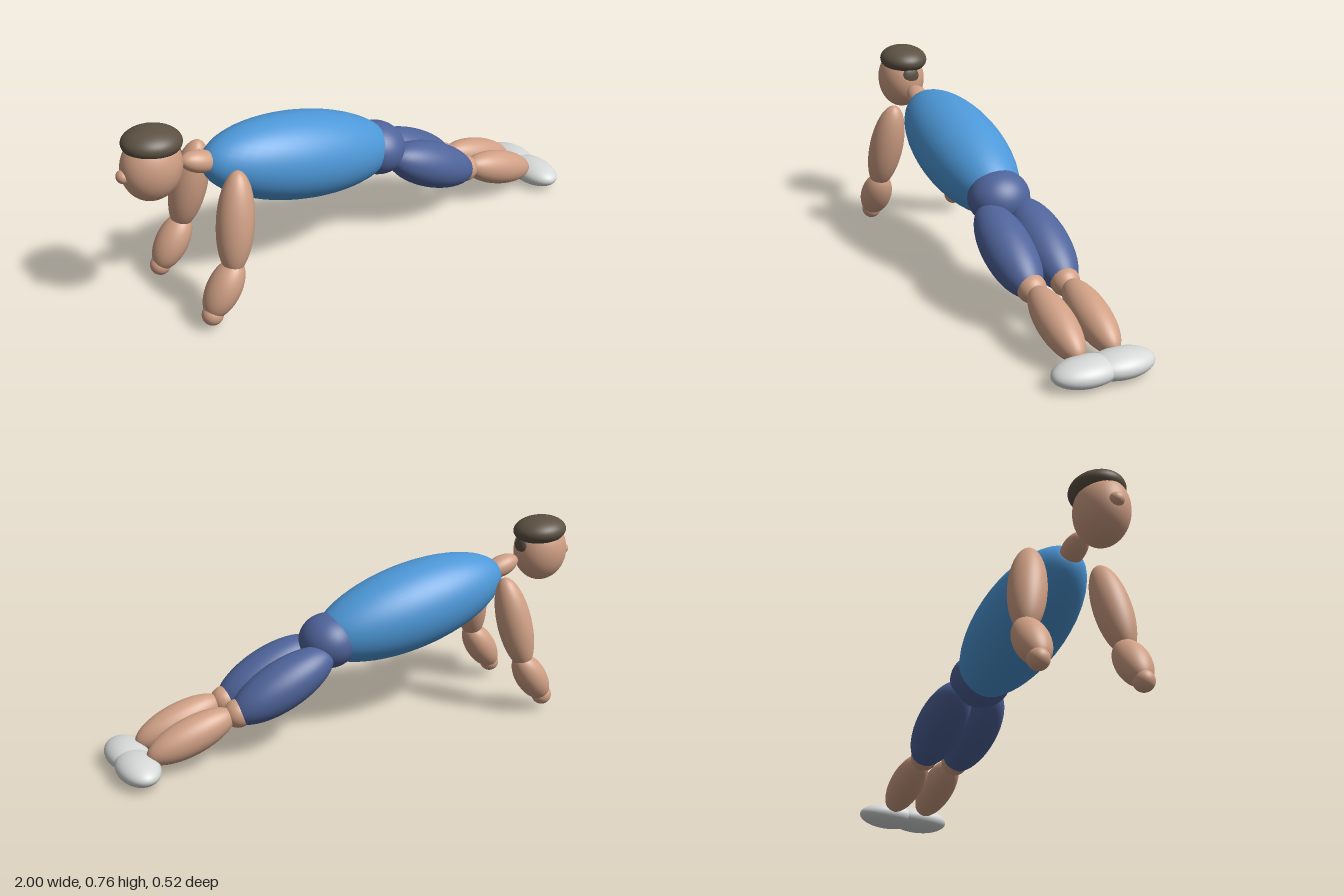
import * as THREE from 'three';

function material(name, color) {
  const m = new THREE.MeshStandardMaterial({ color });
  m.name = name;
  return m;
}

export function createModel() {
  const skin = material('skin', 0xd0a085);
  const shirt = material('blue shirt', 0x4d98d8);
  const shorts = material('navy shorts', 0x4f649b);
  const hair = material('brown hair', 0x5c5143);
  const shoe = material('pale shoe', 0xd6d9d8);

  const model = new THREE.Group();
  model.name = 'plankFigure';
  const ball = new THREE.SphereGeometry(1, 40, 28);

  // Ellipsoid with its own radii, tilted about z by a number of degrees
  function blob(parent, name, mat, centre, radii, tilt = 0) {
    const mesh = new THREE.Mesh(ball, mat);
    mesh.name = name;
    mesh.position.set(...centre);
    mesh.scale.set(...radii);
    mesh.rotation.z = THREE.MathUtils.degToRad(tilt);
    parent.add(mesh);
    return mesh;
  }

  // Trunk
  blob(model, 'torso', shirt, [-0.25, 0.47, 0], [0.425, 0.17, 0.172], -12.5);
  blob(model, 'pelvis', shorts, [0.108, 0.388, 0], [0.115, 0.106, 0.123], -12.5);
  blob(model, 'neck', skin, [-0.675, 0.575, 0], [0.08, 0.042, 0.045], -18);

  // Head, looking along -x
  const head = new THREE.Group();
  head.name = 'head';
  model.add(head);
  blob(head, 'skull', skin, [-0.867, 0.62, 0.004], [0.113, 0.128, 0.098], -4);
  blob(head, 'hairCap', hair, [-0.855, 0.708, -0.004], [0.11, 0.056, 0.1], -4);
  blob(head, 'hairBack', hair, [-0.775, 0.646, 0], [0.022, 0.043, 0.041]);
  blob(head, 'nose', skin, [-0.975, 0.61, 0], [0.025, 0.025, 0.028]);

  // Limbs, mirrored across z
  const up = new THREE.Vector3(0, 1, 0);
  for (const s of [1, -1]) {
    const arm = new THREE.Group();
    arm.name = s > 0 ? 'nearArm' : 'farArm';
    const upper = blob(arm, 'upperArm', skin, [-0.64, 0.39, s * 0.17], [0.069, 0.193, 0.071]);
    upper.quaternion.setFromUnitVectors(up, new THREE.Vector3(0.038, 0.185, -s * 0.03).normalize());
    blob(arm, 'forearm', skin, [-0.715, 0.153, s * 0.195], [0.062, 0.12, 0.067], -33);
    blob(arm, 'hand', skin, [-0.77, 0.063, s * 0.2], [0.04, 0.04, 0.04]);

    const leg = new THREE.Group();
    leg.name = s > 0 ? 'nearLeg' : 'farLeg';
    blob(leg, 'thigh', shorts, [0.335, 0.27, s * 0.073], [0.23, 0.094, 0.099], -25);
    blob(leg, 'knee', skin, [0.517, 0.19, s * 0.069], [0.055, 0.055, 0.055]);
    blob(leg, 'shin', skin, [0.705, 0.136, s * 0.07], [0.183, 0.072, 0.069], -19);
    blob(leg, 'foot', shoe, [0.915, 0.051, s * 0.068], [0.08, 0.05, 0.13]);
    model.add(arm, leg);
  }
  return model;
}
